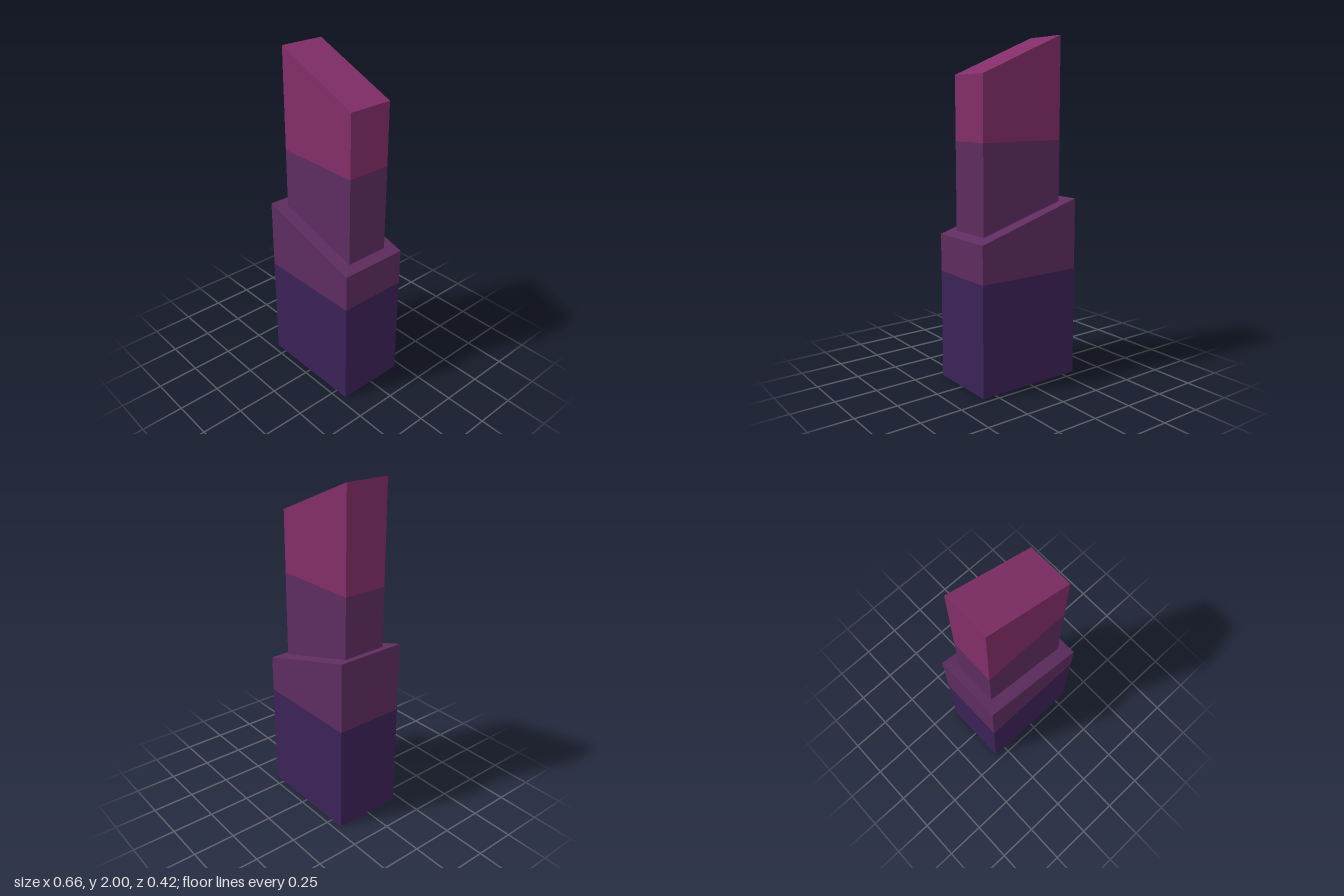
import * as THREE from 'three';

const paint = (name, color) =>
  new THREE.MeshStandardMaterial({ name, color, side: THREE.DoubleSide });

// Rectangular cross-section whose height runs from yRight (-x) to yLeft (+x)
const section = (hx, hz, yRight, yLeft = yRight) => [
  [-hx, yRight, hz], [hx, yLeft, hz], [hx, yLeft, -hz], [-hx, yRight, -hz],
];

// Flat-shaded surface made of four-cornered faces
function faces(name, quads, material) {
  const points = quads.flatMap(([a, b, c, d]) => [a, b, c, a, c, d]).flat();
  const geometry = new THREE.BufferGeometry();
  geometry.setAttribute('position', new THREE.Float32BufferAttribute(points, 3));
  geometry.computeVertexNormals();
  const mesh = new THREE.Mesh(geometry, material);
  mesh.name = name;
  return mesh;
}

// Band of four faces joining two cross-sections
const band = (low, high) => low.map((p, i) => {
  const j = (i + 1) % 4;
  return [p, low[j], high[j], high[i]];
});

export function createModel() {
  const navy = paint('navy', 0x3c2258);
  const plum = paint('plum', 0x5e2d60);
  const magenta = paint('magenta', 0x832e69);

  // Cross-sections from the open underside to the slanted roof
  const ground = section(0.33, 0.212, 0);
  const baseTop = section(0.33, 0.212, 0.645);
  const ledgeOuter = section(0.33, 0.212, 1.065, 0.865);
  const ledgeInner = section(0.27, 0.136, 1.047, 0.888);
  const towerMiddle = section(0.27, 0.136, 1.405);
  const roofEdge = section(0.27, 0.136, 2, 1.772);

  const model = new THREE.Group();
  model.name = 'tower';
  model.add(
    faces('baseWalls', band(ground, baseTop), navy),
    faces('baseUpperWalls', band(baseTop, ledgeOuter), plum),
    faces('slantedLedge', band(ledgeOuter, ledgeInner), plum),
    faces('towerLowerWalls', band(ledgeInner, towerMiddle), plum),
    faces('towerUpperWalls', band(towerMiddle, roofEdge), magenta),
    faces('slantedRoof', [roofEdge], magenta),
  );
  return model;
}
